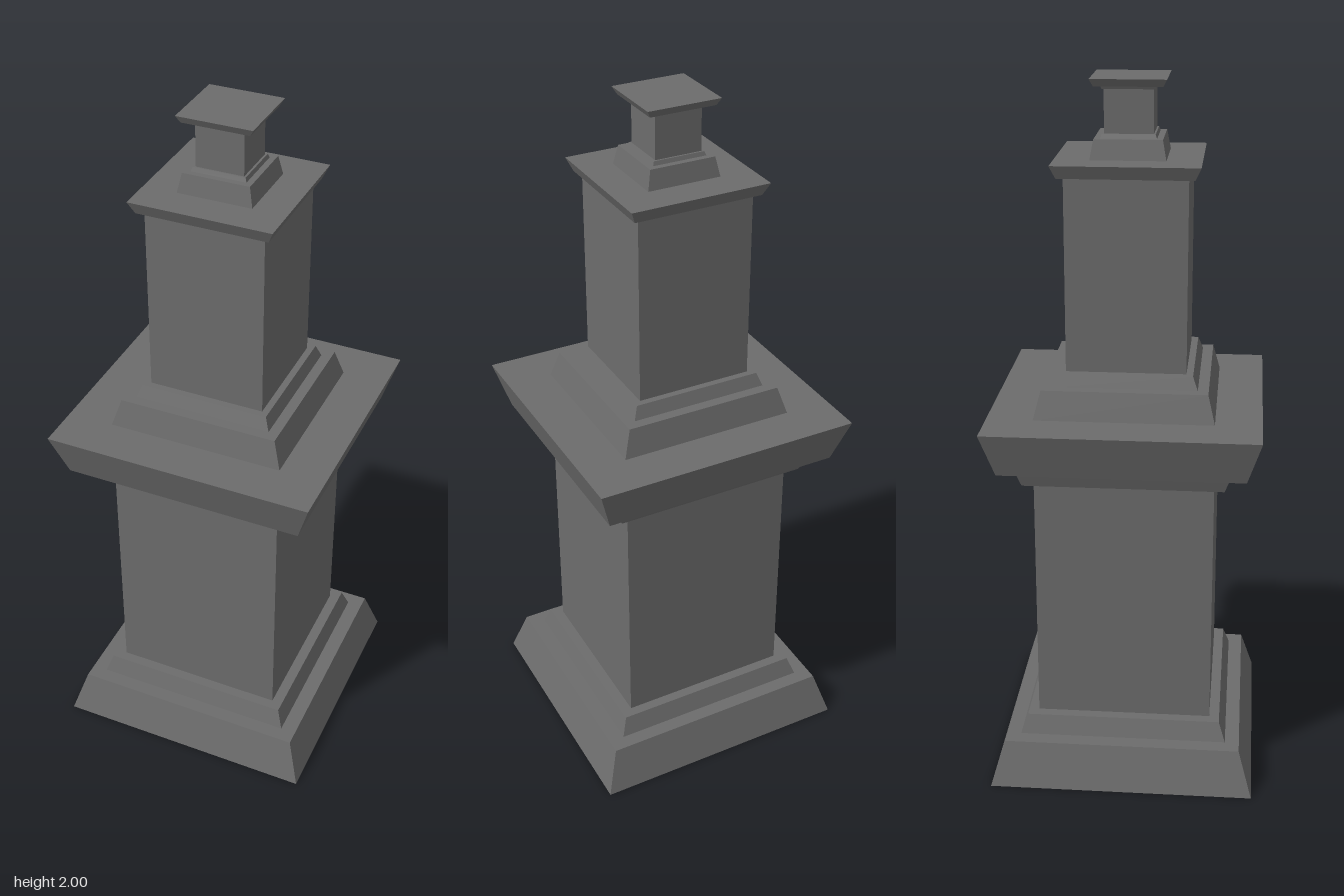
import * as THREE from 'three';

const material = new THREE.MeshStandardMaterial({ color: 0x6c6c6c, flatShading: true });

// Box from y0 to y1 whose half sizes run from [x, z] at the bottom to [x, z] at the top
function taperedBlock(name, y0, y1, [bx, bz], [tx, tz] = [bx, bz]) {
  const geometry = new THREE.BoxGeometry(2, y1 - y0, 2);
  const p = geometry.attributes.position;
  for (let i = 0; i < p.count; i++) {
    const top = p.getY(i) > 0;
    p.setX(i, p.getX(i) * (top ? tx : bx));
    p.setZ(i, p.getZ(i) * (top ? tz : bz));
  }
  geometry.computeVertexNormals();
  const mesh = new THREE.Mesh(geometry, material);
  mesh.name = name;
  mesh.position.y = (y0 + y1) / 2;
  return mesh;
}

export function createModel() {
  const model = new THREE.Group();
  model.name = 'steppedPedestal';

  // Each tier: plinth steps, plain shaft, cornice steps flaring outwards
  const tiers = {
    lowerTier: [
      ['plinth', 0, 0.13, [0.387, 0.38], [0.347, 0.341]],
      ['plinthStep', 0.13, 0.185, [0.302, 0.3], [0.283, 0.281]],
      ['shaft', 0.185, 0.916, [0.252, 0.252]],
      ['corniceStep', 0.916, 0.971, [0.283, 0.281], [0.302, 0.3]],
      ['cornice', 0.971, 1.099, [0.347, 0.341], [0.387, 0.38]],
    ],
    middleTier: [
      ['plinth', 1.099, 1.178, [0.254, 0.25], [0.23, 0.23]],
      ['plinthStep', 1.178, 1.215, [0.2, 0.2], [0.186, 0.186]],
      ['shaft', 1.215, 1.752, [0.167, 0.167]],
      ['cornice', 1.752, 1.788, [0.184, 0.184], [0.2, 0.2]],
    ],
    topTier: [
      ['plinth', 1.788, 1.842, [0.105, 0.103], [0.094, 0.093]],
      ['plinthStep', 1.842, 1.853, [0.077, 0.076], [0.073, 0.072]],
      ['shaft', 1.853, 1.971, [0.067, 0.067]],
      ['corniceStep', 1.971, 1.98, [0.073, 0.072], [0.077, 0.076]],
      ['cornice', 1.98, 2, [0.094, 0.093], [0.105, 0.103]],
    ],
  };

  for (const [name, blocks] of Object.entries(tiers)) {
    const tier = new THREE.Group();
    tier.name = name;
    for (const block of blocks) tier.add(taperedBlock(...block));
    model.add(tier);
  }
  return model;
}
